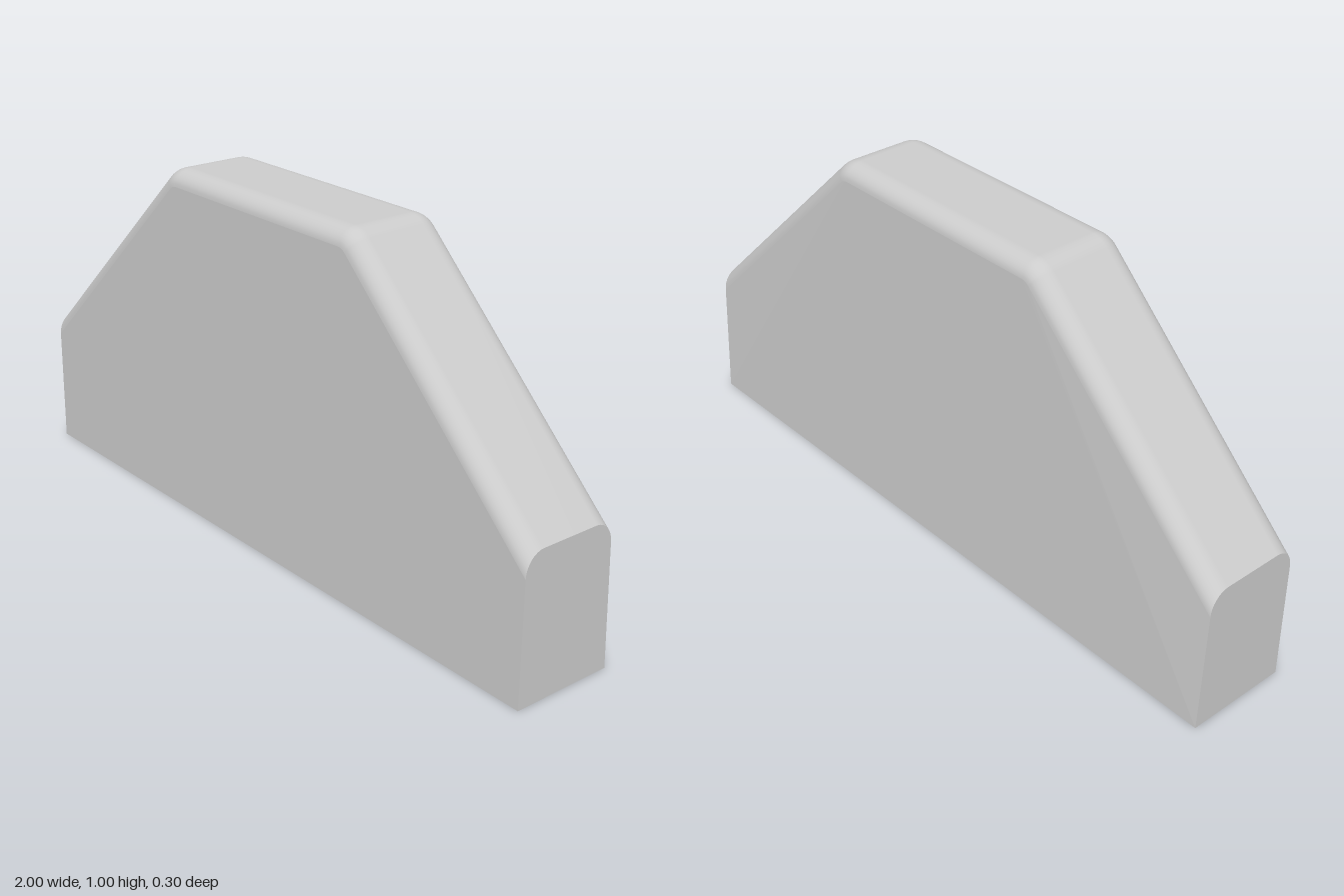
import * as THREE from 'three';

const FRONT = 0.148, BACK_TOP = -0.135, BACK_BOTTOM = -0.148;
const ROUND_Z = 0.055, ROUND_DEPTH = 0.045;      // edge rounding across and into the outline
const SLOPE = Math.atan(0.947), END_Y = 0.405;   // sloping shoulders
const CORNER = { x: 0.34, y: 0.92, r: 0.08 };    // rounded shoulder corner
const CORNER_STEPS = 6, ROUND_STEPS = 8;

const material = new THREE.MeshStandardMaterial({ color: 0xcccccc });

// upper outline, from +x to -x, moved inward by depth
function outline(depth) {
  const half = [[1, END_Y - depth / Math.cos(SLOPE)]];
  for (let i = 0; i <= CORNER_STEPS; i++) {
    const a = SLOPE * (1 - i / CORNER_STEPS), r = CORNER.r - depth;
    half.push([CORNER.x + r * Math.sin(a), CORNER.y + r * Math.cos(a)]);
  }
  return [...half, ...half.map(([x, y]) => [-x, y]).reverse()];
}

// flat faces made of triangle fans
function fanMesh(name, ...fans) {
  const pos = [];
  for (const p of fans)
    for (let i = 1; i < p.length - 1; i++) pos.push(...p[0], ...p[i], ...p[i + 1]);
  const g = new THREE.BufferGeometry();
  g.setAttribute('position', new THREE.Float32BufferAttribute(pos, 3));
  g.computeVertexNormals();
  const mesh = new THREE.Mesh(g, material);
  mesh.name = name;
  return mesh;
}

// smooth skin over rows of points
function skinMesh(name, rows) {
  const n = rows[0].length, index = [];
  for (let j = 0; j < rows.length - 1; j++)
    for (let i = 0; i < n - 1; i++) {
      const a = j * n + i, b = a + 1, d = a + n, c = d + 1;
      index.push(a, d, c, a, c, b);
    }
  const g = new THREE.BufferGeometry();
  g.setAttribute('position', new THREE.Float32BufferAttribute(rows.flat(2), 3));
  g.setIndex(index);
  g.computeVertexNormals();
  const mesh = new THREE.Mesh(g, material);
  mesh.name = name;
  return mesh;
}

export function createModel() {
  const group = new THREE.Group();
  group.name = 'taperedBlock';

  // rounded top: outline rows running from the front edge to the back edge
  const rows = [];
  for (const side of [1, -1])
    for (let k = 0; k <= ROUND_STEPS; k++) {
      const step = side > 0 ? k : ROUND_STEPS - k;
      const a = (step / ROUND_STEPS) * Math.PI / 2;
      const inset = ROUND_Z * (1 - Math.cos(a));
      const z = side > 0 ? FRONT - inset : BACK_TOP + inset;
      rows.push(outline(ROUND_DEPTH * (1 - Math.sin(a))).map(([x, y]) => [x, y, z]));
    }
  group.add(skinMesh('roundedTop', rows));

  const last = rows[0].length - 1;
  const frontEdge = rows[0], backEdge = rows[rows.length - 1];
  const foot = (x, z) => [x, 0, z];
  const fl = foot(1, FRONT), fr = foot(-1, FRONT);
  const bl = foot(1, BACK_BOTTOM), br = foot(-1, BACK_BOTTOM);

  group.add(fanMesh('frontFace', [fr, fl, ...frontEdge]));

  // back leans slightly, with a separate facet below the right shoulder
  const mid = (last + 1) / 2;
  group.add(fanMesh('backFace',
    [br, ...backEdge.slice(mid).reverse()],
    [bl, br, ...backEdge.slice(0, mid + 1).reverse()]));

  group.add(fanMesh('leftEnd', [fl, bl, ...rows.map(r => r[0]).reverse()]));
  group.add(fanMesh('rightEnd', [br, fr, ...rows.map(r => r[last])]));
  group.add(fanMesh('base', [br, bl, fl, fr]));
  return group;
}
